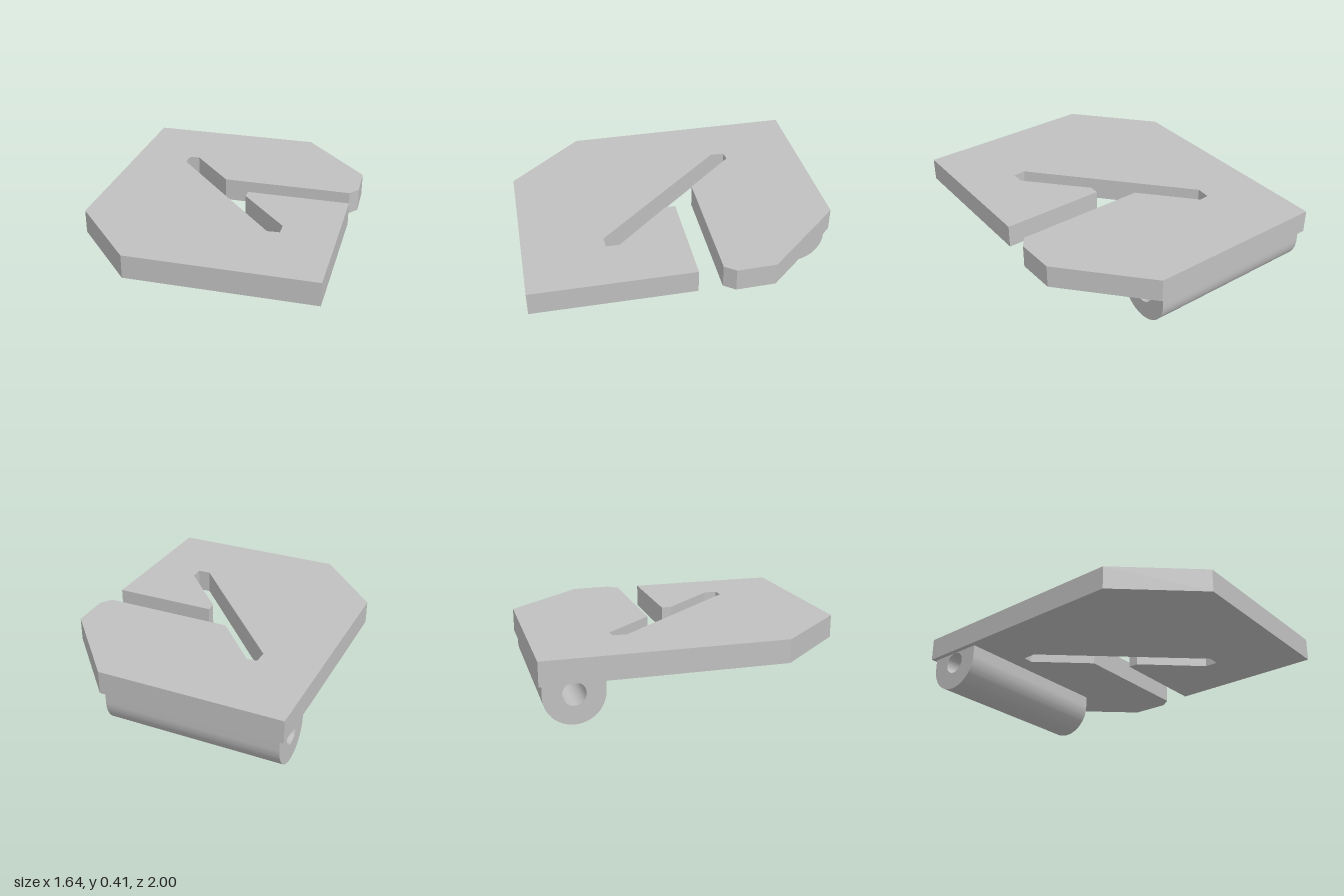
import * as THREE from 'three';
import { toCreasedNormals } from 'three/addons/utils/BufferGeometryUtils.js';

export function createModel() {
  const group = new THREE.Group();
  const grey = new THREE.MeshStandardMaterial({ color: 0xc0c0c0 });
  grey.name = 'light grey';

  // Clip plate: one outline in x, z that runs in and out of the slot
  const outline = [
    [-0.82, -1], [0.36, -1], [0.815, -0.495], [0.82, -0.245], [0.768, -0.175],
    [-0.085, -0.175], [-0.375, -0.495], [-0.44, -0.49], [-0.445, -0.4],
    [0.355, 0.49], [0.435, 0.485], [0.435, 0.4], [0.11, 0.045], [0.11, -0.02],
    [0.785, -0.02], [0.78, 1], [-0.395, 1], [-0.825, 0.52],
  ];
  const plateShape = new THREE.Shape(outline.map(([x, z]) => new THREE.Vector2(x, -z)));
  const plateGeometry = new THREE.ExtrudeGeometry(plateShape, { depth: 0.15, bevelEnabled: false });
  plateGeometry.rotateX(-Math.PI / 2).translate(0, 0.258, 0);
  const plate = new THREE.Mesh(plateGeometry, grey);
  plate.name = 'slottedPlate';
  group.add(plate);

  // Hinge barrel: round below, straight sides up to the plate, bored through
  const u = 0.795, v = 0.186, radius = 0.186, top = 0.258;
  const barrelShape = new THREE.Shape();
  barrelShape.moveTo(u - radius, top);
  barrelShape.lineTo(u - radius, v);
  barrelShape.absarc(u, v, radius, Math.PI, Math.PI * 2, false);
  barrelShape.lineTo(u + radius, top);
  barrelShape.closePath();
  const bore = new THREE.Path();
  bore.absarc(u, v, 0.071, 0, Math.PI * 2, true);
  barrelShape.holes.push(bore);
  const barrelGeometry = new THREE.ExtrudeGeometry(barrelShape, {
    depth: 1.125, bevelEnabled: false, curveSegments: 32,
  });
  barrelGeometry.rotateY(Math.PI / 2).translate(-0.79, 0, 0);
  const barrel = new THREE.Mesh(toCreasedNormals(barrelGeometry, 0.6), grey);
  barrel.name = 'hingeBarrel';
  group.add(barrel);

  return group;
}
